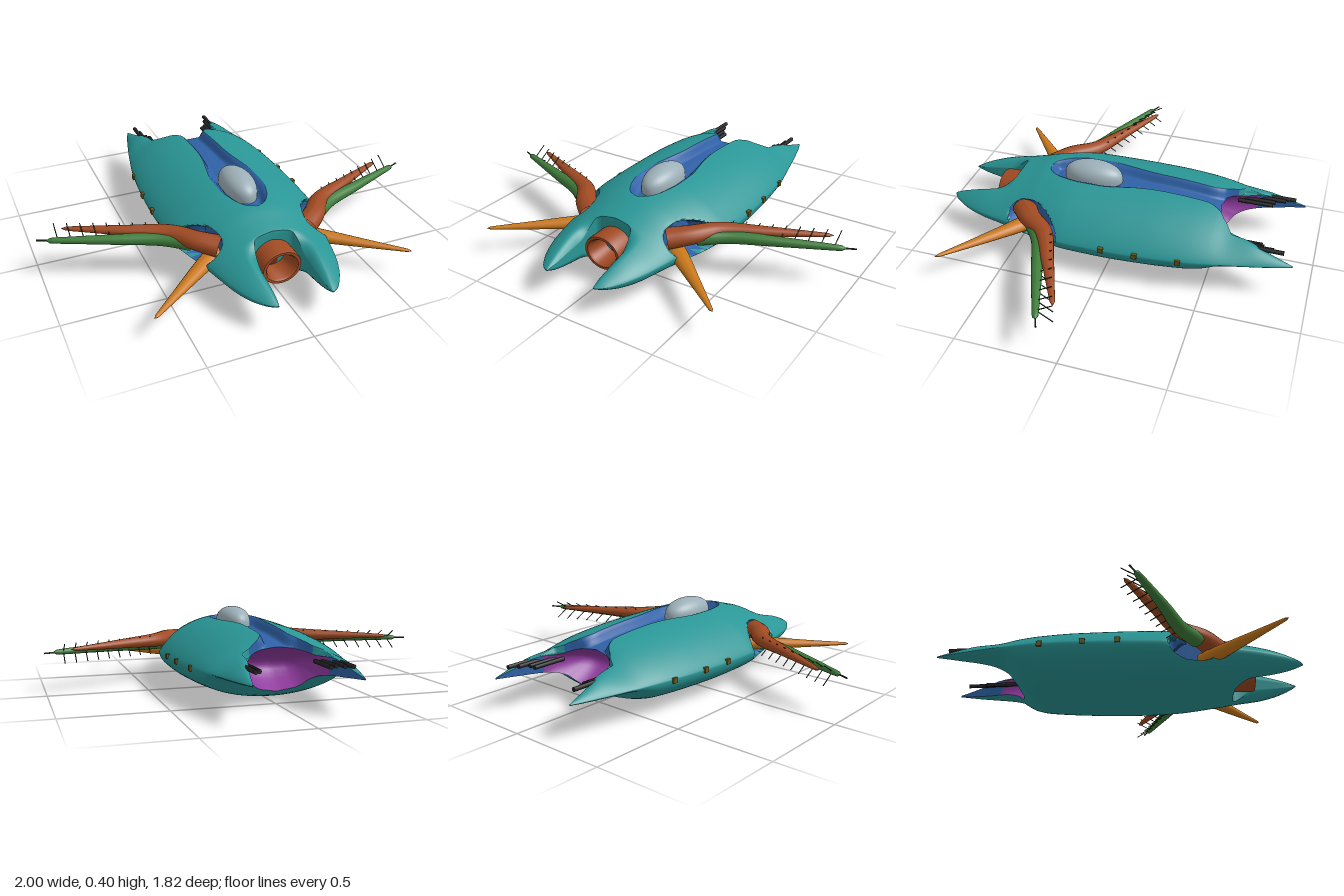
import * as THREE from 'three';
import { toCreasedNormals } from 'three/addons/utils/BufferGeometryUtils.js';

const mat = (color) => new THREE.MeshStandardMaterial({ color, side: THREE.DoubleSide });
const TEAL = mat(0x2a9696), BLUE = mat(0x2f62a8), PURPLE = mat(0x8f3a9e), BROWN = mat(0xa04a22),
  DARKBROWN = mat(0x6e3018), GREEN = mat(0x3f7d3b), ORANGE = mat(0xc9781c), BLACK = mat(0x222222),
  GLASS = mat(0x9db0b8), OLIVE = mat(0x6b5a1e), SPINE = mat(0x1f3d20);

const smooth = (x, a, b) => THREE.MathUtils.smoothstep(x, a, b);

// Monotone cubic through [z, value] points, z ascending
function curve(pts) {
  const n = pts.length;
  const d = pts.slice(1).map((p, i) => (p[1] - pts[i][1]) / (p[0] - pts[i][0]));
  const m = pts.map((_, i) => i === 0 ? d[0] : i === n - 1 ? d[n - 2]
    : d[i - 1] * d[i] <= 0 ? 0 : 2 * d[i - 1] * d[i] / (d[i - 1] + d[i]));
  return (z) => {
    let i = 0;
    while (i < n - 2 && z > pts[i + 1][0]) i++;
    const h = pts[i + 1][0] - pts[i][0];
    const t = THREE.MathUtils.clamp((z - pts[i][0]) / h, 0, 1), u = 1 - t;
    return pts[i][1] * (1 + 2 * t) * u * u + m[i] * h * t * u * u
      + pts[i + 1][1] * t * t * (3 - 2 * t) - m[i + 1] * h * t * t * u;
  };
}

// Hull profiles along z: outer and inner half width, top, bottom, waterline, trench half width
const outer = curve([[-.91, .255], [-.85, .275], [-.75, .302], [-.6, .338], [-.4, .376], [-.2, .394], [0, .4], [.2, .396],
  [.3, .38], [.4, .35], [.5, .32], [.6, .296], [.7, .27], [.8, .23], [.85, .2], [.89, .17], [.91, .14]]);
const inner = curve([[-.91, .25], [-.8, .228], [-.72, .208], [-.62, .172], [-.56, .138], [-.525, .085], [-.51, 0],
  [.565, 0], [.572, .075], [.585, .1], [.65, .114], [.85, .121], [.91, .13]]);
const topY = curve([[-.91, .178], [-.8, .213], [-.7, .255], [-.6, .29], [-.5, .322], [-.4, .337], [-.2, .35], [.2, .355],
  [.4, .333], [.5, .305], [.6, .275], [.7, .237], [.8, .195], [.87, .165], [.91, .143]]);
const bottomY = curve([[-.91, .17], [-.8, .16], [-.65, .145], [-.57, .118], [-.53, .08], [-.48, .042], [-.4, .02],
  [-.2, .008], [0, .002], [.3, .008], [.5, .024], [.7, .06], [.8, .088], [.87, .115], [.91, .137]]);
const midY = curve([[-.91, .174], [-.5, .175], [0, .165], [.5, .155], [.91, .14]]);
const trench = curve([[-.6, .2], [-.56, .14], [-.51, .09], [-.45, .066], [-.2, .07], [-.1, .08], [0, .1], [.1, .116],
  [.2, .116], [.3, .095], [.36, .065], [.39, .035], [.4, .006]]);

const ND = 10, NT = 28, NB = 30, NW = 10;
const socketE = (y, z) => ((z - .39) / .15) ** 2 + ((y - .178 - (z - .39) * .1) / .086) ** 2;

// Closed cross-section of the +x half: deck, upper side, lower side, inner wall
function section(z) {
  const xi = inner(z), xo = outer(z), yt = topY(z), yb = bottomY(z), ym = midY(z), span = xo - xi;
  const w = THREE.MathUtils.clamp(trench(z), xi + span * .02, xi + span * .9), sw = (w - xi) / span;
  const lobe = z > 0 ? smooth(z, .57, .85) : smooth(-z, .55, .85);
  const round = z > 0 ? .6 * smooth(z, .565, .7) : .15 * smooth(-z, .51, .7);
  const depth = .05 * smooth(z, -.72, -.5) * (1 - smooth(z, .36, .405));
  const point = (s, up) => {
    let x = xi + s * span;
    const e = Math.min(1, (1 - lobe) * x / xo + lobe * s);
    const k = 1 - round * (1 - Math.min(s / .35, 1)) ** 2;
    let y = up ? ym + (yt - ym) * k * Math.max(0, 1 - e * e) ** .8
      : ym - (ym - yb) * k * Math.sqrt(Math.max(0, 1 - e * e));
    if (up && s < sw) y -= depth * smooth((1 - s / sw) * 2.2, 0, 1);
    const inside = x > .2 && socketE(y, z) < 1;
    if (inside) x -= (x - .215) * smooth(1 - socketE(y, z), 0, .3);
    return { p: [x, y, z], inside };
  };
  const out = [], a0 = Math.asin(sw), H = Math.PI / 2;
  for (let j = 0; j < ND; j++) out.push(point(sw * j / ND, true));
  for (let j = 0; j < NT; j++) out.push(point(Math.sin(a0 + (H - a0) * j / NT), true));
  for (let j = 0; j <= NB; j++) out.push(point(Math.sin(H * (1 - j / NB)), false));
  const top = out[0].p[1], low = out[out.length - 1].p[1];
  const hollow = .13 * smooth(z, -.7, -.53) * (z < 0 ? 1 : 0);
  for (let j = 1; j <= NW; j++) {
    const v = j / NW;
    out.push({ p: [xi, low + (top - low) * v, z + hollow * Math.sin(Math.PI * v)], inside: false });
  }
  return { z, xi, out };
}

function buildHull(group) {
  const rows = [];
  [[-.91, -.62, 16], [-.62, -.51, 16], [-.51, .2, 28], [.2, .565, 48], [.565, .6, 10], [.6, .91, 22]].forEach(([a, b, n], k) => {
    for (let i = k ? 1 : 0; i <= n; i++) rows.push(section(a + (b - a) * i / n));
  });
  const parts = { hull: [], trenchDeck: [], armSockets: [], engineBay: [], prongLining: [] };
  for (let i = 0; i < rows.length - 1; i++) {
    const A = rows[i], B = rows[i + 1], z = (A.z + B.z) / 2;
    for (let j = 0; j < A.out.length - 1; j++) {
      const q = [A.out[j], B.out[j], B.out[j + 1], A.out[j + 1]];
      const wall = j >= ND + NT + NB;
      if (wall && A.xi < 1e-4 && B.xi < 1e-4) continue;
      let name = 'hull';
      if (wall && z < 0) name = z > -.67 ? 'engineBay' : 'prongLining';
      else if (j < ND && z < .4 && z > -.57) name = 'trenchDeck';
      else if (q.every((v) => v.inside)) name = 'armSockets';
      for (const s of [1, -1]) {
        const order = s > 0 ? [0, 1, 2, 0, 2, 3] : [0, 2, 1, 0, 3, 2];
        for (const o of order) parts[name].push(q[o].p[0] * s, q[o].p[1], q[o].p[2]);
      }
    }
  }
  const mats = { hull: TEAL, trenchDeck: BLUE, armSockets: BLUE, engineBay: PURPLE, prongLining: BLUE };
  for (const name in parts) {
    const g = new THREE.BufferGeometry();
    g.setAttribute('position', new THREE.Float32BufferAttribute(parts[name], 3));
    g.scale(100, 100, 100); // crease test works on a coarse grid, so run it enlarged
    const c = toCreasedNormals(g, .9);
    c.scale(.01, .01, .01);
    add(group, name, c, mats[name]);
  }
}

function add(group, name, geometry, material, x = 0, y = 0, z = 0) {
  const mesh = new THREE.Mesh(geometry, material);
  mesh.name = name;
  mesh.position.set(x, y, z);
  group.add(mesh);
  return mesh;
}

// Tube whose radius follows r(t), flattened in y
function taper(points, r, flat = 1, n = 32) {
  const path = new THREE.CatmullRomCurve3(points.map((p) => new THREE.Vector3(...p)));
  const g = new THREE.TubeGeometry(path, n, 1, 16), pos = g.attributes.position, v = new THREE.Vector3();
  for (let k = 0; k < pos.count; k++) {
    const t = Math.floor(k / 17) / n, c = path.getPointAt(t);
    v.fromBufferAttribute(pos, k).sub(c).multiplyScalar(r(t));
    v.y *= flat;
    pos.setXYZ(k, c.x + v.x, c.y + v.y, c.z + v.z);
  }
  g.computeVertexNormals();
  return g;
}
const bluntEnd = (t) => Math.sqrt(Math.max(0, 1 - Math.max(0, (t - .95) / .05) ** 2));

// Thin rod between two points
function rod(group, name, a, b, radius, material) {
  const A = new THREE.Vector3(...a), B = new THREE.Vector3(...b), d = B.clone().sub(A);
  const mesh = add(group, name, new THREE.CylinderGeometry(radius, radius, d.length(), 8), material);
  mesh.position.copy(A).add(B).multiplyScalar(.5);
  mesh.quaternion.setFromUnitVectors(new THREE.Vector3(0, 1, 0), d.normalize());
}

// One side's arms, spines, thrusters and portholes
function buildSide(s) {
  const g = new THREE.Group();
  g.name = s > 0 ? 'leftSide' : 'rightSide';
  const P = (list) => list.map(([x, y, z]) => [x * s, y, z]);
  add(g, 'upperArm', taper(P([[.22, .2, .47], [.31, .213, .4], [.4, .217, .295], [.6, .218, .19], [.875, .218, .055]]),
    (t) => (.062 - .052 * t) * bluntEnd(t), .8), BROWN);
  add(g, 'forearm', taper(P([[.33, .195, .38], [.45, .197, .3], [.65, .2, .225], [.96, .2, .105]]),
    (t) => (.042 - .028 * t) * bluntEnd(t), .9), GREEN);
  add(g, 'frontFin', taper(P([[.22, .135, .42], [.3, .134, .48], [.48, .132, .63], [.645, .132, .77]]),
    (t) => (.05 - .042 * t) * bluntEnd(t), .75), ORANGE);
  for (let i = 0; i < 9; i++) {
    const x = .905 - i * .058, z = .125 + (.905 - x) * .4;
    for (const up of [1, -1])
      rod(g, 'spine', [x * s, .2, z], [x * s, .2 + up * .048, z - .08], .0025, SPINE);
  }
  rod(g, 'tipSpine', [.94 * s, .2, .112], [1 * s, .2, .086], .004, SPINE);
  [[.222, -.86], [.207, -.81], [.187, -.76], [.167, -.75]].forEach(([x, z], i) =>
    rod(g, 'thrusterRod', [x * s, .222 - i * .006, -.57], [x * s, .222 - i * .006, z], .011, BLACK));
  for (const z of [0, -.17, -.38])
    add(g, 'porthole', new THREE.BoxGeometry(.03, .026, .026), OLIVE, (outer(z) - .008) * s, .17, z);
  return g;
}

export function createModel() {
  const model = new THREE.Group();
  model.name = 'spacecraft';
  buildHull(model);

  // Canopy: squared-off dome
  const dome = new THREE.SphereGeometry(1, 40, 28), p = dome.attributes.position;
  for (let i = 0; i < p.count; i++) p.setY(i, Math.sign(p.getY(i)) * Math.abs(p.getY(i)) ** .8);
  dome.scale(.083, .085, .155);
  dome.computeVertexNormals();
  add(model, 'canopy', dome, GLASS, 0, .315, .165);

  // Nose intake: hollow oval ring with a dark back
  const ring = [[.1, 0], [.1, .12], [.096, .13], [.082, .13], [.074, .12], [.062, .015], [0, .01]]
    .map(([r, h]) => new THREE.Vector2(r, h));
  const intake = new THREE.LatheGeometry(ring, 40);
  intake.rotateX(Math.PI / 2);
  intake.scale(1, .86, 1);
  add(model, 'noseIntake', toCreasedNormals(intake.scale(100, 100, 100), .6).scale(.01, .01, .01), BROWN, 0, .153, .55);
  add(model, 'intakeBack', new THREE.CircleGeometry(.06, 32).scale(1, .86, 1), DARKBROWN, 0, .153, .568);

  for (const s of [1, -1]) model.add(buildSide(s));
  return model;
}
